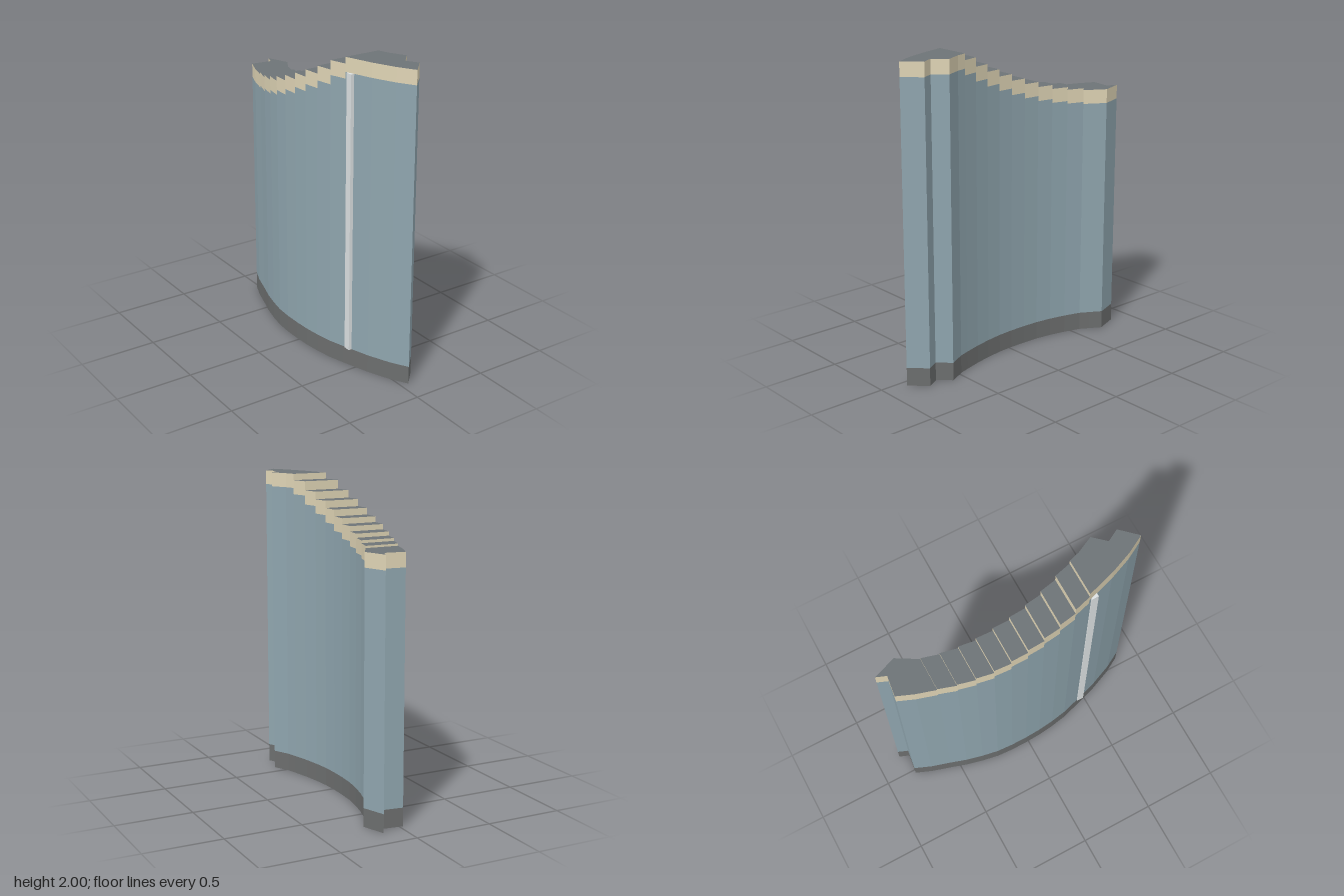
import * as THREE from 'three';

const mat = (name, color) => new THREE.MeshStandardMaterial({ name, color });

export function createModel() {
  const group = new THREE.Group();
  const stone = mat('base grey', 0x6c6e6e);
  const roof = mat('top grey', 0x6d7376);
  const blue = mat('wall blue', 0x8fa5ae);
  const cream = mat('band cream', 0xdfd4b5);
  const pale = mat('strip pale', 0xdde2e3);

  // Step lines along z, with the x of the convex and concave faces at each line
  const z = [0.41, 0.303, 0.195, 0.087, -0.02, -0.128, -0.237, -0.345, -0.455, -0.565];
  const outer = [-0.127, -0.158, -0.177, -0.189, -0.194, -0.194, -0.187, -0.167, -0.14, -0.104];
  const inner = [0.107, 0.079, 0.057, 0.042, 0.036, 0.036, 0.041, 0.056, 0.08, 0.112];
  const heights = [2, 1.96, 1.903, 1.855, 1.81, 1.768, 1.732, 1.7, 1.675, 1.658, 1.645];
  const baseTop = 0.117, bandHeight = 0.09;

  // Notched ends, each running from the convex side to the concave side
  const frontEnd = [[-0.07, 0.59], [-0.01, 0.735], [0.052, 0.845], [0.15, 0.742],
    [0.107, 0.665], [0.18, 0.585], [0.128, 0.48]];
  const backEnd = [[-0.066, -0.69], [-0.022, -0.798], [0.11, -0.78], [0.136, -0.846],
    [0.19, -0.698], [0.148, -0.627]];
  const out = z.map((v, i) => [outer[i], v]);
  const inn = z.map((v, i) => [inner[i], v]);

  // Upright prism over a plan outline of [x, z] points
  const prism = (name, plan, y0, y1, materials) => {
    const shape = new THREE.Shape(plan.map(([x, v]) => new THREE.Vector2(x, -v)));
    const geo = new THREE.ExtrudeGeometry(shape, { depth: y1 - y0, bevelEnabled: false });
    geo.rotateX(-Math.PI / 2).translate(0, y0, 0);
    const mesh = new THREE.Mesh(geo, materials);
    mesh.name = name;
    group.add(mesh);
  };

  // Continuous plinth
  prism('base', [...frontEnd, ...inn, ...backEnd.slice().reverse(), ...out.slice().reverse()],
    0, baseTop, stone);

  // Stepped wall slices, each with a band and a grey top
  const last = z.length - 1;
  heights.forEach((h, i) => {
    let plan;
    if (i === 0) plan = [out[0], ...frontEnd, inn[0]];
    else if (i > last) plan = [out[last], ...backEnd, inn[last]];
    else plan = [out[i - 1], inn[i - 1], inn[i], out[i]];
    prism('wall' + i, plan, baseTop, h - bandHeight, blue);
    prism('band' + i, plan, h - bandHeight, h, [roof, cream]);
  });

  // Narrow upright strip on the convex face
  prism('strip', [[-0.13, 0.425], [-0.13, 0.47], [-0.105, 0.47], [-0.115, 0.425]],
    baseTop, 2 - bandHeight, pale);

  return group;
}
